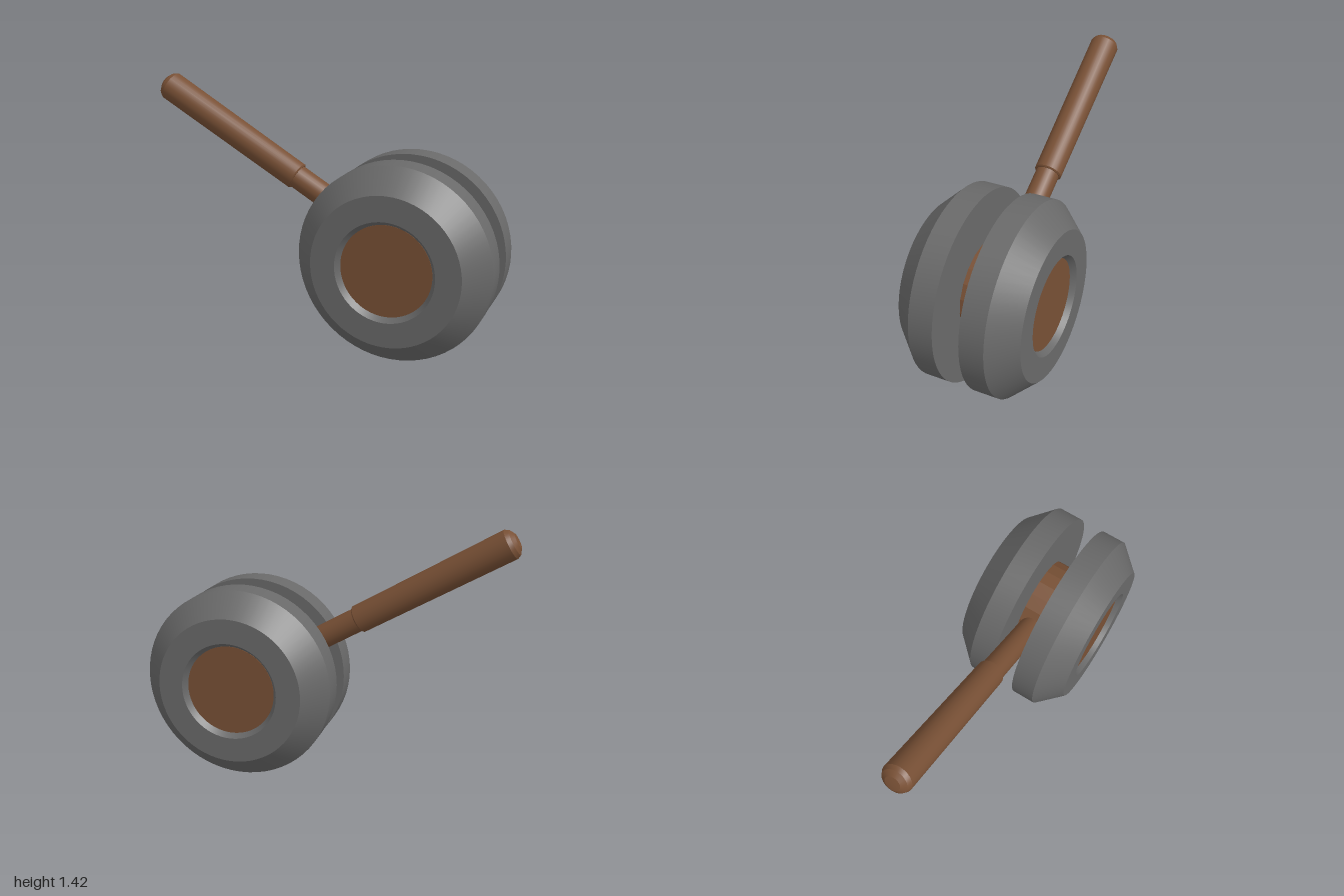
import * as THREE from 'three';
import { toCreasedNormals } from 'three/addons/utils/BufferGeometryUtils.js';

const WHEEL_X = 0.468, WHEEL_Y = 0.53;

// Turned part around the y axis; profile points are [radius, height], bottom to top
function turned(profile, segments) {
  const points = profile.map(([r, y]) => new THREE.Vector2(r, y));
  return toCreasedNormals(new THREE.LatheGeometry(points, segments), 0.42);
}

export function createModel() {
  const model = new THREE.Group();
  model.name = 'wheelWithHandle';

  const rubber = new THREE.MeshStandardMaterial({ color: 0x696969 });
  rubber.name = 'grey rubber';
  const wood = new THREE.MeshStandardMaterial({ color: 0x785035 });
  wood.name = 'brown wood';

  function add(parent, name, geometry, material) {
    const mesh = new THREE.Mesh(geometry, material);
    mesh.name = name;
    parent.add(mesh);
    return mesh;
  }

  // Twin wheels, hub and axle share one centre
  const wheels = new THREE.Group();
  wheels.name = 'wheels';
  wheels.position.set(WHEEL_X, WHEEL_Y, 0);
  model.add(wheels);

  // Each wheel: flat inner face, tread, bevelled shoulder, outer face, tapered recess
  const wheelProfile = [
    [0.24, 0.073], [0.53, 0.073], [0.53, 0.207], [0.405, 0.34], [0.27, 0.34], [0.245, 0.305],
  ];
  for (const side of [1, -1]) {
    const wheel = add(wheels, side > 0 ? 'frontWheel' : 'backWheel', turned(wheelProfile, 64), rubber);
    wheel.rotation.x = side * Math.PI / 2;
  }

  // Axle whose ends show in the wheel recesses
  const axle = add(wheels, 'axle', new THREE.CylinderGeometry(0.247, 0.247, 0.62, 64), wood);
  axle.rotation.x = Math.PI / 2;

  // Faceted hub in the gap between the wheels
  const hubGeometry = new THREE.CylinderGeometry(0.26, 0.26, 0.15, 20);
  const hub = add(wheels, 'hub', toCreasedNormals(hubGeometry, 0.1), wood);
  hub.rotation.x = Math.PI / 2;

  // Handle leans 30 degrees above horizontal, pointing away from the hub centre
  const handle = new THREE.Group();
  handle.name = 'handle';
  handle.position.set(WHEEL_X, WHEEL_Y, 0);
  handle.rotation.z = Math.PI / 3;
  model.add(handle);

  // Thin shaft from inside the hub into the grip
  add(handle, 'shaft', turned([[0, 0.2], [0.066, 0.2], [0.066, 0.76], [0, 0.76]], 24), wood);

  // Thicker grip with a bevelled tip
  add(handle, 'grip', turned([
    [0, 0.725], [0.07, 0.725], [0.077, 0.732], [0.082, 1.635],
    [0.07, 1.657], [0.042, 1.675], [0, 1.68],
  ], 24), wood);

  return model;
}
